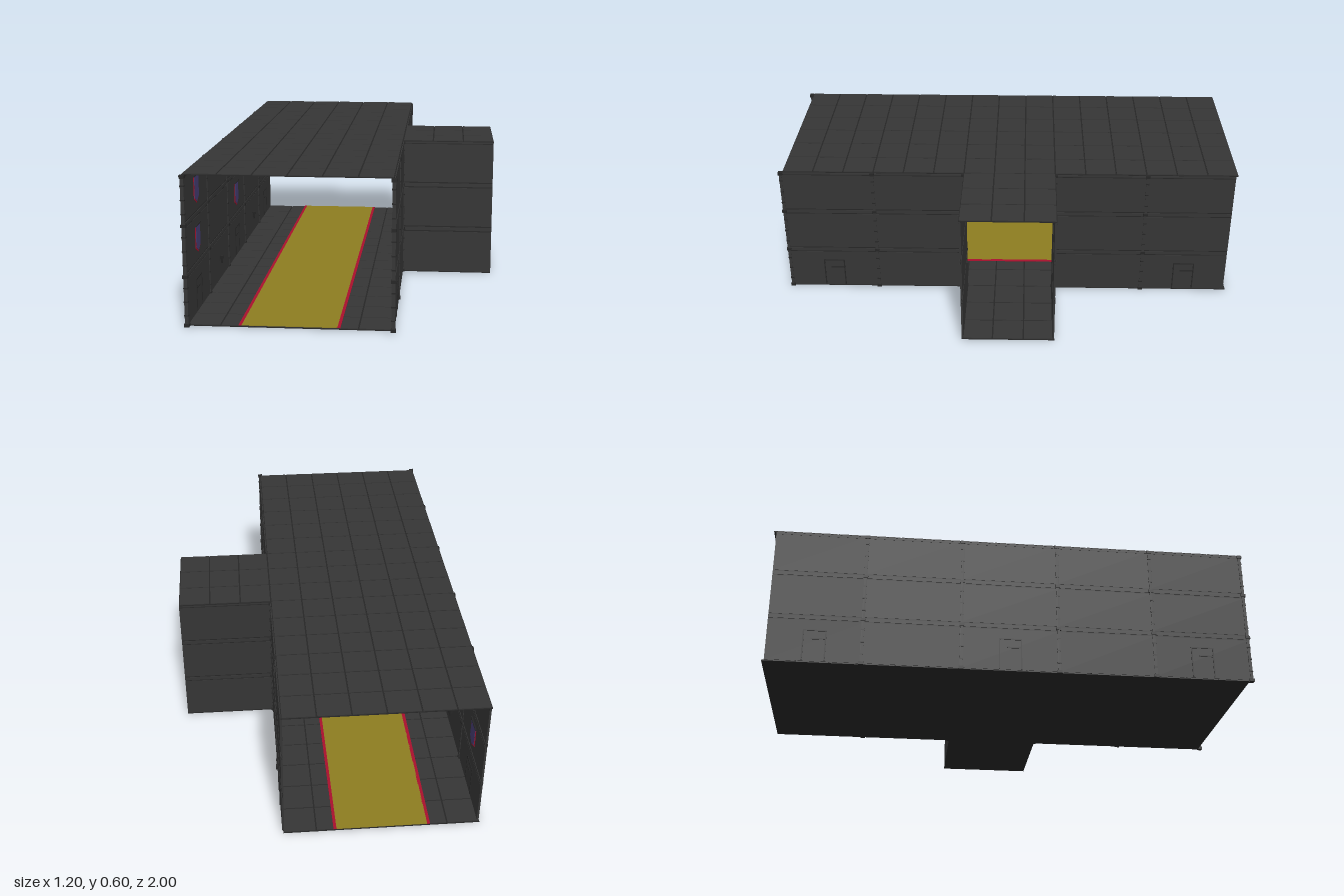
import * as THREE from 'three';

const mat = (name, color) => {
  const m = new THREE.MeshStandardMaterial({ color });
  m.name = name;
  return m;
};

export function createModel() {
  const stone = mat('stone grey', 0x353535);
  const trim = mat('dark trim', 0x262626);
  const gold = mat('carpet gold', 0x8c7c20);
  const red = mat('border red', 0xa8102c);
  const violet = mat('banner violet', 0x453c72);

  const root = new THREE.Group();
  root.name = 'corridorJunction';

  const add = (parent, name, geometry, material, x, y, z) => {
    const m = new THREE.Mesh(geometry, material);
    m.name = name;
    m.position.set(x, y, z);
    parent.add(m);
    return m;
  };
  const box = (parent, name, material, w, h, d, x, y, z) =>
    add(parent, name, new THREE.BoxGeometry(w, h, d), material, x, y, z);

  const leftX = -0.59, rightX = 0.205, bay = 0.4, step = bay / 3;
  const bays = [0.79, 0.39, -0.01, -0.41, -0.81];

  // Thin dark slab carrying a grid of square tiles on its upper side
  function tiledSlab(name, x0, x1, z0, z1, y) {
    const g = new THREE.Group();
    g.name = name;
    const nx = Math.round((x1 - x0) / step), nz = Math.round((z1 - z0) / step);
    const dx = (x1 - x0) / nx, dz = (z1 - z0) / nz;
    box(g, name + 'Base', trim, x1 - x0, 0.003, z1 - z0, (x0 + x1) / 2, y + 0.0015, (z0 + z1) / 2);
    const tile = new THREE.BoxGeometry(dx - 0.006, 0.003, dz - 0.006);
    for (let i = 0; i < nx; i++)
      for (let k = 0; k < nz; k++)
        add(g, name + 'Tile', tile, stone, x0 + (i + 0.5) * dx, y + 0.0045, z0 + (k + 0.5) * dz);
    root.add(g);
  }
  for (const [name, y] of [['floor', 0], ['roof', 0.594]]) {
    tiledSlab(name, -0.595, 0.205, -1, 0.98, y);
    tiledSlab('alcove' + name, 0.205, 0.6, -0.21, 0.19, y);
  }

  // Carpet along the hall
  box(root, 'carpet', gold, 0.37, 0.002, 1.98, -0.195, 0.0072, -0.01);
  for (const s of [-1, 1])
    box(root, 'carpetBorder', red, 0.014, 0.002, 1.98, -0.195 + s * 0.19, 0.0072, -0.01);

  // Wall section running along local x: three stacked panels and ledges
  function wallSection(name, length) {
    const g = new THREE.Group();
    g.name = name;
    for (let r = 0; r < 3; r++) {
      const low = r ? 0.013 : 0.006, high = r < 2 ? 0.187 : 0.194;
      box(g, 'wallPanel', stone, length, high - low, 0.008, 0, r * 0.2 + (low + high) / 2, 0);
    }
    for (const y of [0.2, 0.4]) {
      box(g, 'ledgeCore', trim, length, 0.026, 0.005, 0, y, 0);
      box(g, 'ledge', stone, length, 0.015, 0.01, 0, y, 0);
    }
    box(g, 'topGroove', trim, length, 0.003, 0.0095, 0, 0.585, 0);
    root.add(g);
    return g;
  }

  // Pointed hanging: red backing with a smaller violet face
  function pennant(w, h, point) {
    const s = new THREE.Shape();
    s.moveTo(-w / 2, h / 2);
    s.lineTo(-w / 2, -h / 2 + point);
    s.lineTo(0, -h / 2);
    s.lineTo(w / 2, -h / 2 + point);
    s.lineTo(w / 2, h / 2);
    return new THREE.ExtrudeGeometry(s, { depth: 0.002, bevelEnabled: false });
  }
  const backing = pennant(0.08, 0.112, 0.022), face = pennant(0.068, 0.106, 0.019);
  function banners(g) {
    for (const y of [0.3, 0.5]) {
      add(g, 'bannerBorder', backing, red, 0, y, 0.005);
      add(g, 'bannerFace', face, violet, 0, y + 0.003, 0.0065);
      box(g, 'bannerRod', trim, 0.088, 0.005, 0.006, 0, y + 0.057, 0.008);
    }
  }

  // Low hatch outline shown on both faces of the wall
  function hatch(g) {
    for (const z of [-0.005, 0.005]) {
      for (const s of [-1, 1]) box(g, 'hatchJamb', trim, 0.005, 0.13, 0.004, s * 0.045, 0.075, z);
      box(g, 'hatchLintel', trim, 0.095, 0.005, 0.004, 0, 0.142, z);
      box(g, 'hatchRail', trim, 0.06, 0.005, 0.004, -0.015, 0.105, z);
    }
  }

  // Small wall torch
  function torch(g) {
    box(g, 'torchBracket', trim, 0.008, 0.02, 0.008, 0, 0.1, 0.007);
    add(g, 'torchCup', new THREE.CylinderGeometry(0.008, 0.003, 0.035, 8), trim, 0, 0.095, 0.014);
  }

  // Long walls, local +z facing into the hall
  for (const side of [-1, 1]) {
    bays.forEach((z, i) => {
      if (side === 1 && i === 2) return;
      const g = wallSection(side < 0 ? 'leftWall' : 'rightWall', i === 4 ? 0.38 : bay);
      g.position.set(side < 0 ? leftX : rightX, 0, i === 4 ? -0.8 : z);
      g.rotation.y = -side * Math.PI / 2;
      if (i % 2 === 0) {
        banners(g);
        hatch(g);
      } else torch(g);
    });
  }

  // Alcove walls
  for (const s of [-1, 1]) {
    const g = wallSection('alcoveWall', 0.395);
    g.position.set(0.4025, 0, s < 0 ? -0.205 : 0.185);
    if (s > 0) g.rotation.y = Math.PI;
  }

  // Posts with collars and studs at each bay joint
  for (const x of [leftX, rightX])
    for (let i = 0; i < 5; i++) {
      const g = new THREE.Group();
      g.name = 'post';
      g.position.set(x, 0, 0.99 - i * bay);
      box(g, 'postShaft', stone, 0.014, 0.592, 0.012, 0, 0.298, 0);
      for (const y of [0.006, 0.2, 0.4, 0.59])
        box(g, 'postCollar', trim, 0.02, 0.012, 0.02, 0, y, 0);
      for (let r = 0; r < 3; r++)
        for (const y of [0.045, 0.1, 0.155])
          box(g, 'postStud', trim, 0.017, 0.005, 0.015, 0, r * 0.2 + y, 0);
      root.add(g);
    }

  return root;
}
